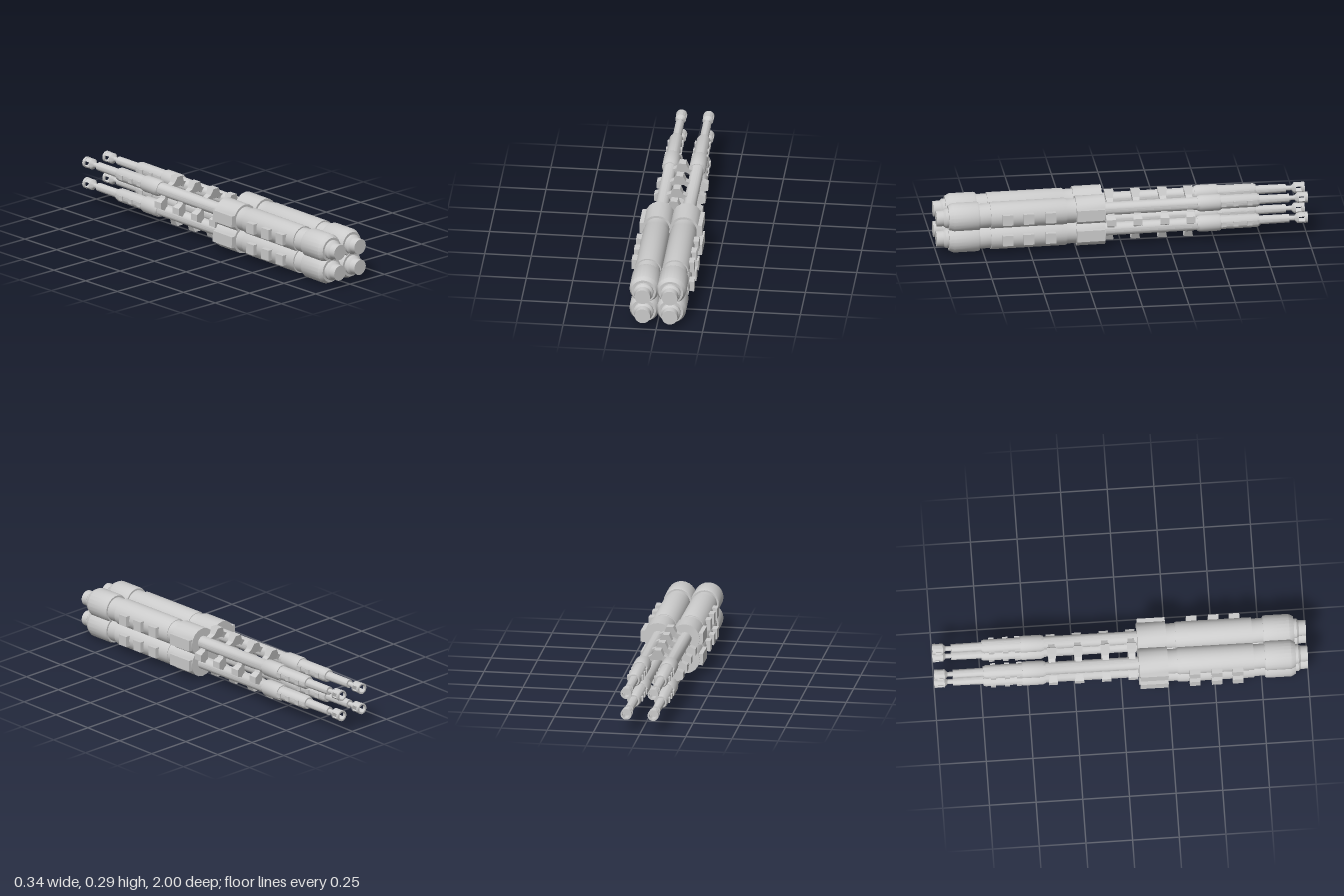
import * as THREE from 'three';
import { toCreasedNormals } from 'three/addons/utils/BufferGeometryUtils.js';

const material = new THREE.MeshStandardMaterial({ color: 0xcccccc });
const TILT = 0.016;

function addMesh(parent, name, geometry) {
  const mesh = new THREE.Mesh(geometry, material);
  mesh.name = name;
  parent.add(mesh);
  return mesh;
}

// Turned part along z; profile is [radius, z] with z rising
function turned(profile, sides = 24) {
  const points = profile.map(([r, z]) => new THREE.Vector2(r, z));
  const geometry = new THREE.LatheGeometry(points, sides);
  geometry.rotateX(Math.PI / 2);
  return toCreasedNormals(geometry, 0.5);
}

function addBox(parent, name, w, h, d, x, y, z) {
  addMesh(parent, name, new THREE.BoxGeometry(w, h, d)).position.set(x, y, z);
}

// Curved wall between two angles, extruded along z
function arcWall(inner, outer, from, to, depth) {
  const shape = new THREE.Shape();
  shape.absarc(0, 0, outer, from, to, false);
  shape.absarc(0, 0, inner, to, from, true);
  const geometry = new THREE.ExtrudeGeometry(shape, { depth, bevelEnabled: false, curveSegments: 10 });
  return toCreasedNormals(geometry, 0.5);
}

// One cannon along z; side is +1 or -1 for its outer face
function createCannon(side) {
  const cannon = new THREE.Group();

  // Thick housing with stepped breech cap
  addMesh(cannon, 'housing', turned([
    [0, 0.24], [0.066, 0.24], [0.066, 0.3], [0.069, 0.3], [0.073, 0.31], [0.073, 0.71],
    [0.066, 0.71], [0.066, 0.77], [0.075, 0.77], [0.079, 0.78], [0.079, 0.91],
    [0.066, 0.935], [0.053, 0.935], [0.053, 0.95], [0.043, 0.962], [0.042, 1], [0, 1],
  ]));
  addMesh(cannon, 'rearCollar', turned([
    [0, 0.095], [0.079, 0.095], [0.079, 0.25], [0, 0.25],
  ], 16));
  addBox(cannon, 'collarPad', 0.06, 0.062, 0.15, side * 0.065, 0, 0.175);
  for (const z of [0.392, 0.51, 0.622]) {
    addBox(cannon, 'housingLug', 0.04, 0.058, 0.056, side * 0.075, 0, z);
  }

  // Slim barrel with sleeve, stepping down to the neck
  addMesh(cannon, 'barrel', turned([
    [0, -0.952], [0.029, -0.952], [0.029, -0.945], [0.013, -0.93], [0.013, -0.9],
    [0.023, -0.9], [0.024, -0.738], [0.032, -0.738], [0.037, -0.725], [0.037, -0.53],
    [0.042, -0.53], [0.045, -0.52], [0.045, -0.42], [0.039, -0.405],
    [0.035, -0.405], [0.035, 0.1],
  ]));
  for (const z of [-0.545, -0.61, -0.685]) {
    addBox(cannon, 'barrelLug', 0.086, 0.026, 0.028, 0, 0, z);
  }

  // Muzzle: hollow rim held by two curved walls, open at the sides
  addMesh(cannon, 'muzzleRim', turned([
    [0.021, -0.984], [0.021, -1], [0.03, -1], [0.03, -0.984], [0.021, -0.984],
  ]));
  for (const start of [0, Math.PI]) {
    const wall = arcWall(0.021, 0.0285, start + 0.5, start + Math.PI - 0.5, 0.036);
    addMesh(cannon, 'muzzleWall', wall).position.z = -0.986;
  }
  return cannon;
}

// Chevron bridging two neighbouring barrels, wider towards its flat peak
function bridgeGeometry() {
  const half = [[0.018, 0.138], [0.033, 0.105], [0.068, 0.088], [0.06, 0.055], [0.02, 0.08]];
  const outline = [
    ...half.map(([x, y]) => new THREE.Vector2(x, y)),
    ...half.slice().reverse().map(([x, y]) => new THREE.Vector2(-x, y)),
  ];
  const depth = 0.05;
  const geometry = new THREE.ExtrudeGeometry(new THREE.Shape(outline), { depth, bevelEnabled: false });
  geometry.translate(0, 0, -depth / 2);
  const p = geometry.attributes.position;
  for (let i = 0; i < p.count; i++) {
    const t = THREE.MathUtils.clamp((p.getY(i) - 0.07) / 0.068, 0, 1);
    p.setZ(i, p.getZ(i) * (0.5 + 0.5 * t));
  }
  geometry.computeVertexNormals();
  return geometry;
}

export function createModel() {
  const model = new THREE.Group();
  model.name = 'quadCannon';

  // Four cannons, slightly raised towards the muzzle
  for (const side of [-1, 1]) {
    for (const [level, y] of [['lower', 0.096], ['upper', 0.212]]) {
      const cannon = createCannon(side);
      cannon.name = level + (side > 0 ? 'Left' : 'Right') + 'Cannon';
      cannon.position.set(side * 0.073, y, 0);
      cannon.rotation.x = TILT;
      model.add(cannon);
    }
  }

  // Four rings of bridges around the slim barrels
  const bridge = bridgeGeometry();
  for (const z of [0.062, -0.08, -0.225, -0.365]) {
    const ring = new THREE.Group();
    ring.name = 'bridgeRing';
    ring.position.set(0, 0.15, z);
    for (let i = 0; i < 4; i++) {
      addMesh(ring, 'bridge', bridge).rotation.z = i * Math.PI / 2;
    }
    model.add(ring);
  }
  return model;
}
